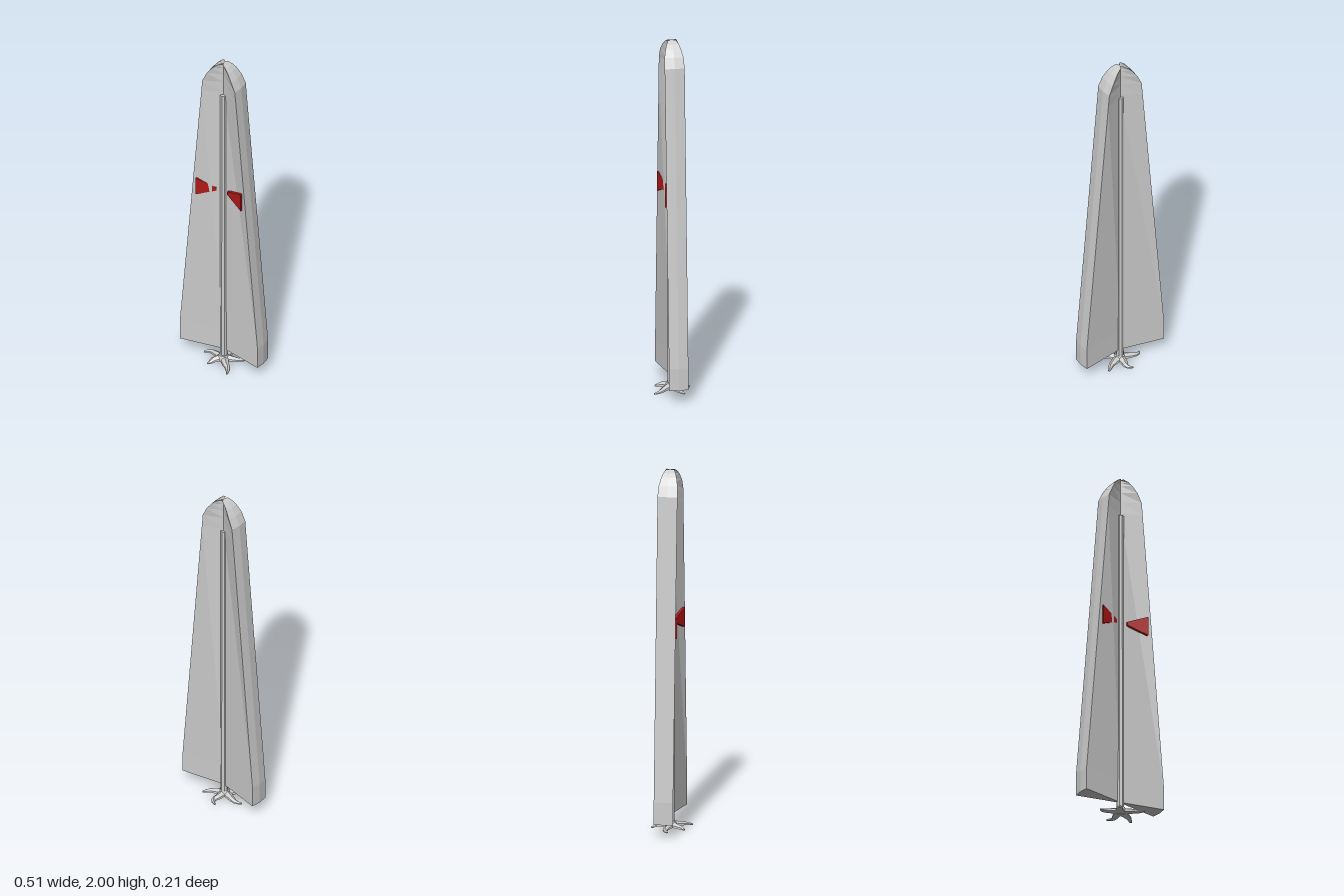
import * as THREE from 'three';

const grey = new THREE.MeshStandardMaterial({ color: 0xcccccc, flatShading: true, side: THREE.DoubleSide });
const red = new THREE.MeshStandardMaterial({ color: 0xb01818, flatShading: true, side: THREE.DoubleSide });
const MID_Z = -0.007;

// Skins a stack of equal-length rings ([x, y, z] points) and closes both ends with fans
function loft(rings) {
  const n = rings[0].length;
  const pos = rings.flat(2);
  const idx = [];
  for (let r = 0; r < rings.length - 1; r++) {
    for (let i = 0; i < n; i++) {
      const a = r * n + i, b = r * n + (i + 1) % n;
      idx.push(a, b, a + n, b, b + n, a + n);
    }
  }
  [0, rings.length - 1].forEach((r, end) => {
    const c = pos.length / 3;
    for (let k = 0; k < 3; k++) pos.push(rings[r].reduce((s, p) => s + p[k], 0) / n);
    for (let i = 0; i < n; i++) {
      const a = r * n + i, b = r * n + (i + 1) % n;
      idx.push(...(end ? [c, a, b] : [c, b, a]));
    }
  });
  const g = new THREE.BufferGeometry();
  g.setAttribute('position', new THREE.Float32BufferAttribute(pos, 3));
  g.setIndex(idx);
  g.computeVertexNormals();
  return g;
}

function add(parent, name, geometry, material = grey) {
  const mesh = new THREE.Mesh(geometry, material);
  mesh.name = name;
  parent.add(mesh);
  return mesh;
}

// Bow-tie section: thick outer edges with a shallow ridge, pinched at the centre line
function bowTie([y, x, t]) {
  const c = 0.003, m = x + 0.006 * Math.min(1, x / 0.1);
  return [[0, c], [x, t], [m, 0], [x, -t], [0, -c], [-x, -t], [-m, 0], [-x, t]]
    .map(([px, pz]) => [px, y, pz + MID_Z]);
}

// Curved tapering foot, with a path of [x, z] points in plan
function foot(path) {
  const curve = new THREE.CatmullRomCurve3(path.map(([x, z], i) =>
    new THREE.Vector3(x, 0.024 - 0.019 * i / (path.length - 1), z)));
  const steps = 7, rings = [];
  for (let s = 0; s <= steps; s++) {
    const u = s / steps, p = curve.getPoint(u), d = curve.getTangent(u);
    const side = new THREE.Vector3(-d.z, 0, d.x).normalize();
    const w = 0.018 * (1 - u) + 0.005, h = 0.009 * (1 - u) + 0.004;
    rings.push([[w, -h], [w * 0.9, 0], [0, h], [-w * 0.9, 0], [-w, -h]]
      .map(([a, b]) => [p.x + side.x * a, Math.max(0, p.y + b), p.z + side.z * a]));
  }
  return loft(rings);
}

export function createModel() {
  const model = new THREE.Group();
  model.name = 'taperedBlade';

  // Tall tapering body with a rounded nose: height, half width, half thickness
  const sections = [
    [0.075, 0.25, 0.053], [0.2, 0.25, 0.053], [1.8, 0.111, 0.0545], [1.87, 0.105, 0.055],
    [1.925, 0.08, 0.052], [1.965, 0.053, 0.042], [1.985, 0.033, 0.034], [2, 0.008, 0.023],
  ];
  add(model, 'body', loft(sections.map(bowTie)));

  // Central pole, showing in the valley on both faces
  const pole = add(model, 'pole', new THREE.CylinderGeometry(0.02, 0.021, 1.765, 8));
  pole.position.set(0, 0.9025, MID_Z + 0.002);

  // Wedge-shaped markers lying on the sloping front faces
  for (const s of [1, -1]) {
    const plate = [[0.035, 1.136, 1.156], [0.145, 1.09, 1.2]].map(([x, lo, hi]) => {
      const z = MID_Z + 0.054 * x / 0.167;
      return [[lo, z - 0.004], [hi, z - 0.004], [hi, z + 0.011], [lo, z + 0.011]]
        .map(([y, pz]) => [x * s, y, pz]);
    });
    add(model, s > 0 ? 'leftMarker' : 'rightMarker', loft(plate), red);
  }

  // Base: a low hub with five curling feet
  const base = new THREE.Group();
  base.name = 'base';
  model.add(base);
  const hub = add(base, 'hub', new THREE.CylinderGeometry(0.024, 0.036, 0.026, 10));
  hub.position.y = 0.027;
  const feet = [
    [[0, -0.02], [0.002, -0.055], [0.008, -0.08], [-0.002, -0.098], [-0.022, -0.105]],
    [[0.018, 0.015], [0.045, 0.043], [0.066, 0.06], [0.079, 0.08], [0.087, 0.102]],
    [[-0.015, 0.015], [-0.036, 0.042], [-0.041, 0.06], [-0.046, 0.07], [-0.055, 0.076]],
    [[0.02, -0.01], [0.052, -0.022], [0.076, -0.034], [0.093, -0.05], [0.107, -0.062]],
    [[-0.02, -0.004], [-0.055, -0.014], [-0.085, -0.022], [-0.11, -0.018], [-0.127, -0.004]],
  ];
  feet.forEach((path, i) => add(base, `foot${i + 1}`, foot(path)));

  // Turn inside-out lofts to face outwards
  model.traverse((o) => {
    if (!o.isMesh || !o.geometry.index) return;
    const p = o.geometry.attributes.position, ix = o.geometry.index;
    const [a, b, c] = [0, 1, 2].map(() => new THREE.Vector3());
    let volume = 0;
    for (let i = 0; i < ix.count; i += 3) {
      [a, b, c].forEach((v, k) => v.fromBufferAttribute(p, ix.getX(i + k)));
      volume += a.dot(b.cross(c));
    }
    if (volume < 0) {
      o.geometry.setIndex(Array.from(ix.array).reverse());
      o.geometry.computeVertexNormals();
    }
  });
  return model;
}
